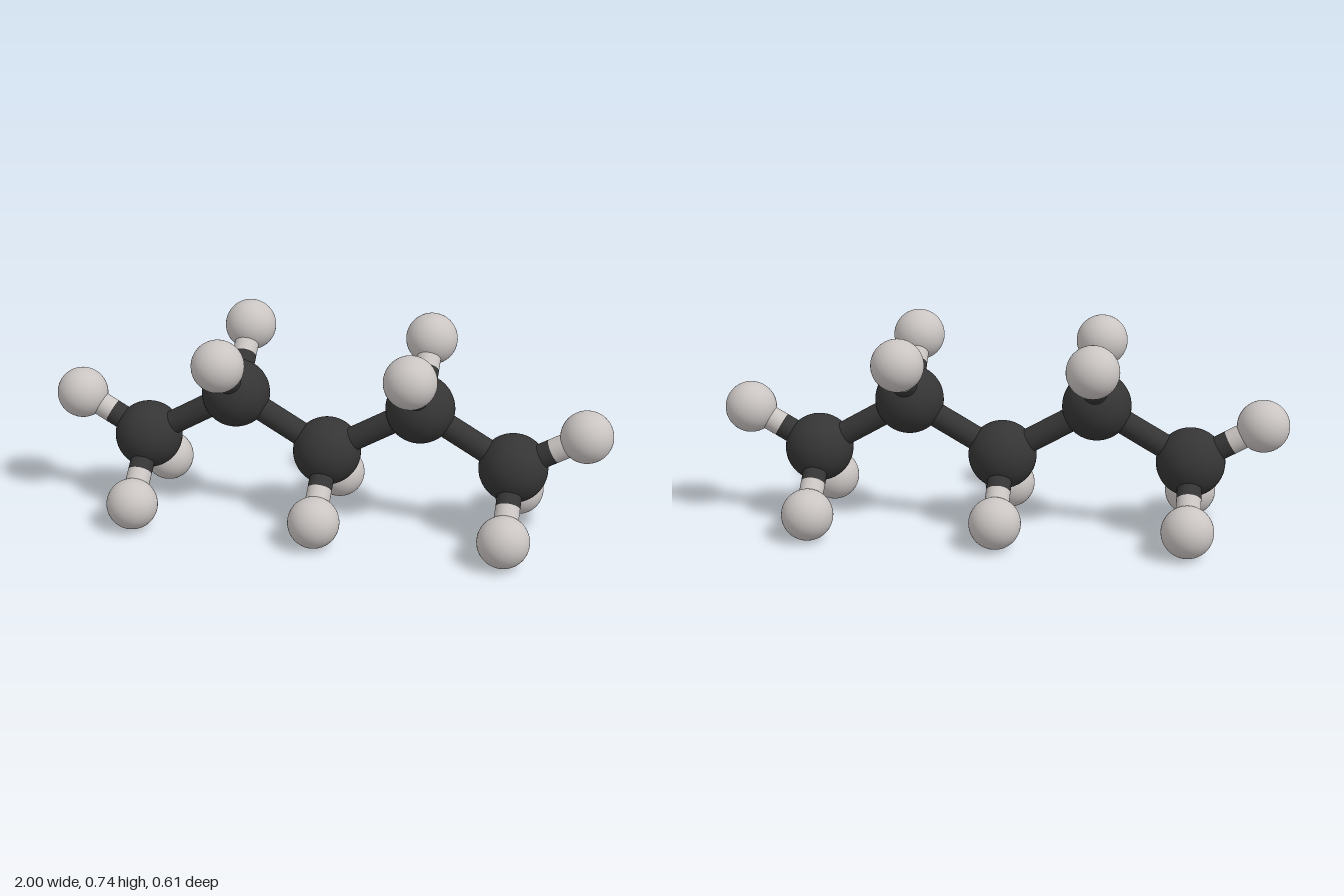
import * as THREE from 'three';

const DARK_R = 0.121, PALE_R = 0.091, ROD_R = 0.043;

export function createModel() {
  const model = new THREE.Group();
  const charcoal = new THREE.MeshStandardMaterial({ color: 0x353535 });
  charcoal.name = 'charcoal';
  const paleGrey = new THREE.MeshStandardMaterial({ color: 0xcac5c3 });
  paleGrey.name = 'paleGrey';

  const darkBall = new THREE.SphereGeometry(DARK_R, 48, 32);
  const paleBall = new THREE.SphereGeometry(PALE_R, 48, 32);

  function ball(name, geometry, material, position) {
    const mesh = new THREE.Mesh(geometry, material);
    mesh.name = name;
    mesh.position.copy(position);
    model.add(mesh);
  }

  // Open cylinder joining two points; its ends are hidden or meet another rod
  function rod(name, a, b, material) {
    const dir = b.clone().sub(a);
    const mesh = new THREE.Mesh(
      new THREE.CylinderGeometry(ROD_R, ROD_R, dir.length(), 32, 1, true), material);
    mesh.name = name;
    mesh.position.copy(a).add(b).multiplyScalar(0.5);
    mesh.quaternion.setFromUnitVectors(new THREE.Vector3(0, 1, 0), dir.normalize());
    model.add(mesh);
  }

  // Pale ball on a two-tone rod, split midway between the two ball surfaces
  function branch(from, offset) {
    const end = from.clone().add(offset);
    const length = offset.length();
    const split = from.clone().lerp(end, (length + DARK_R - PALE_R) / 2 / length);
    rod('branchRodDark', from, split, charcoal);
    rod('branchRodPale', split, end, paleGrey);
    ball('hydrogenBall', paleBall, paleGrey, end);
  }

  // Zigzag chain
  const chain = [-0.663, -0.3315, 0, 0.3315, 0.663].map(
    (x, i) => new THREE.Vector3(x, i % 2 ? 0.466 : 0.274, 0));

  chain.forEach((p, i) => {
    ball('carbonBall', darkBall, charcoal, p);
    if (i > 0) rod('chainRod', chain[i - 1], p, charcoal);
    // Front and back branches point up from high balls, down from low ones
    for (const side of [-1, 1]) {
      branch(p, new THREE.Vector3(0, i % 2 ? 0.181 : -0.181, side * 0.215));
    }
  });

  // Branches closing the two ends
  branch(chain[0], new THREE.Vector3(-0.246, 0.141, 0));
  branch(chain[4], new THREE.Vector3(0.246, 0.141, 0));

  return model;
}
